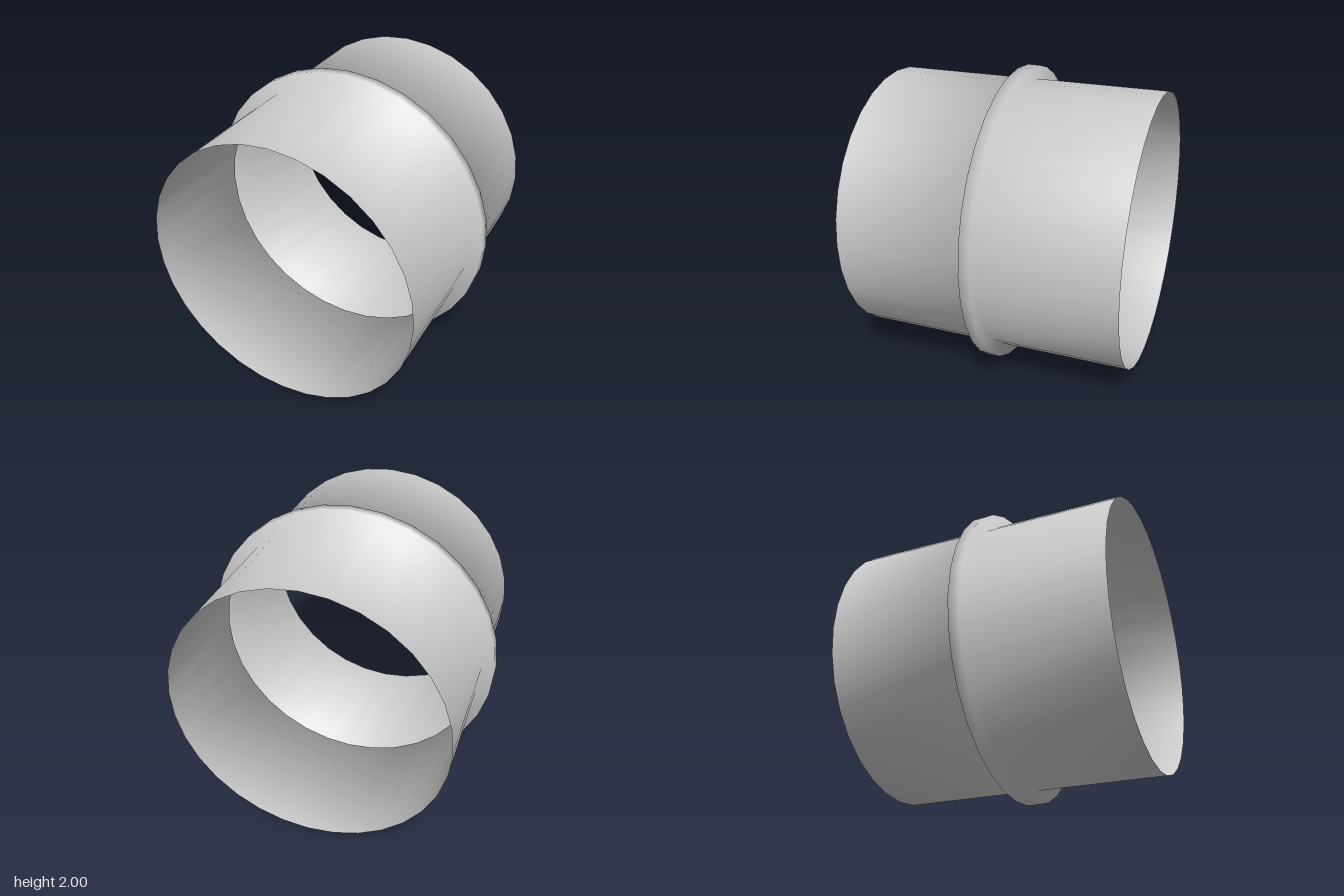
import * as THREE from 'three';

const SEGMENTS = 32;
const TUBE_R = 0.91, TUBE_HALF = 0.91;
const FLANGE_R = 1, FLANGE_HALF = 0.035;

export function createModel() {
  const group = new THREE.Group();
  group.name = 'pipeCoupling';

  // Thin open sleeve that steps out into a hollow flange half way: [radius, axial position]
  const profile = [
    [TUBE_R, -TUBE_HALF], [TUBE_R, -FLANGE_HALF], [FLANGE_R, -FLANGE_HALF],
    [FLANGE_R, FLANGE_HALF], [TUBE_R, FLANGE_HALF], [TUBE_R, TUBE_HALF],
  ].map(([r, a]) => new THREE.Vector2(r, a));
  const geometry = new THREE.LatheGeometry(profile, SEGMENTS);

  // Smooth normals: radial at the open rims, tilted 45 degrees at the flange corners
  const tilt = [0, -1, -1, 1, 1, 0];
  const { position, normal } = geometry.attributes;
  const n = new THREE.Vector3();
  for (let i = 0; i < position.count; i++) {
    n.fromBufferAttribute(position, i).setY(0).normalize();
    n.setY(tilt[i % tilt.length]).normalize();
    normal.setXYZ(i, n.x, n.y, n.z);
  }

  // Lay the axis along z and rest the flange on the ground
  geometry.rotateX(Math.PI / 2).translate(0, FLANGE_R, 0);

  const material = new THREE.MeshStandardMaterial({ color: 0xcccccc, side: THREE.DoubleSide });
  const sleeve = new THREE.Mesh(geometry, material);
  sleeve.name = 'flangedSleeve';
  group.add(sleeve);
  return group;
}
